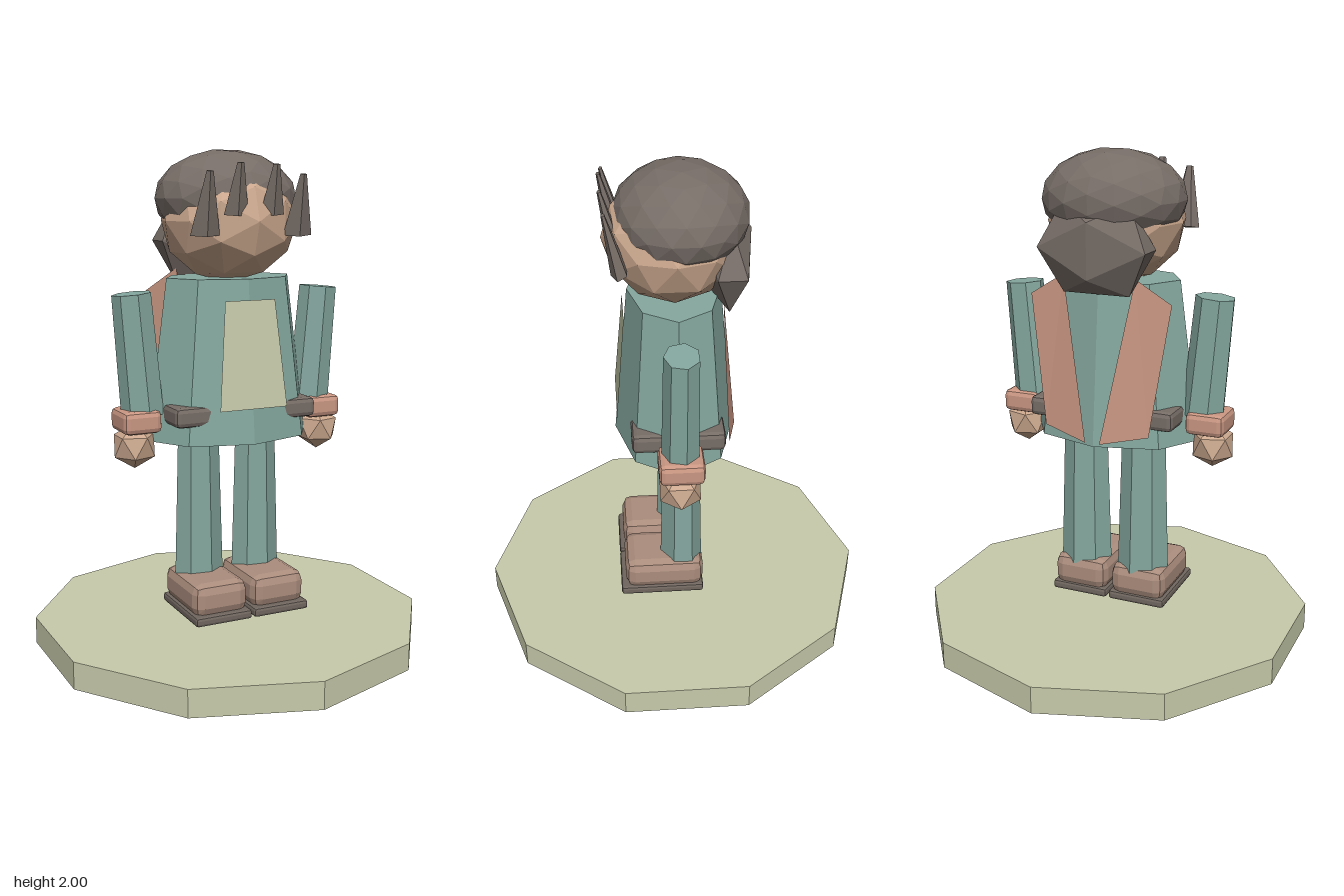
import * as THREE from 'three';
import { RoundedBoxGeometry } from 'three/addons/geometries/RoundedBoxGeometry.js';

function makeMaterial(name, color, side = THREE.FrontSide) {
  const m = new THREE.MeshStandardMaterial({ color, flatShading: true, side });
  m.name = name;
  return m;
}

export function createModel() {
  const mat = {
    stone: makeMaterial('paleStone', 0xc8cbab, THREE.DoubleSide),
    coat: makeMaterial('coatGreen', 0x85a89f),
    skin: makeMaterial('skin', 0xcba88e),
    hair: makeMaterial('hairBrown', 0x776d67),
    strap: makeMaterial('strapPink', 0xca9783, THREE.DoubleSide),
    boot: makeMaterial('bootBrown', 0xab8d7d),
    sole: makeMaterial('soleDark', 0x70665f),
  };
  const model = new THREE.Group();
  model.name = 'figurine';

  function add(name, geometry, material, x, y, z) {
    const mesh = new THREE.Mesh(geometry, material);
    mesh.name = name;
    mesh.position.set(x, y, z);
    model.add(mesh);
    return mesh;
  }
  const chamferBox = (w, h, d, r) => new RoundedBoxGeometry(w, h, d, 1, r);

  // Flat four-cornered plate; corners run around the outline
  function plate(name, corners, material) {
    const g = new THREE.BufferGeometry();
    g.setAttribute('position', new THREE.Float32BufferAttribute(corners.flat(), 3));
    g.setIndex([0, 1, 2, 0, 2, 3]);
    g.computeVertexNormals();
    return add(name, g, material, 0, 0, 0);
  }

  // Ten-sided display base
  add('base', new THREE.CylinderGeometry(0.8, 0.8, 0.11, 10), mat.stone, 0, 0.055, 0);

  // Flared coat with front panel and belt corners
  add('coat', new THREE.CylinderGeometry(0.267, 0.353, 0.64, 8), mat.coat, 0, 1.185, 0).scale.z = 0.68;
  plate('frontPanel', [
    [-0.145, 1.005, 0.234], [0.145, 1.005, 0.234], [0.107, 1.425, 0.197], [-0.107, 1.425, 0.197],
  ], mat.stone);
  add('belt', chamferBox(0.61, 0.08, 0.365, 0.02), mat.hair, 0, 0.98, 0);

  // Parts in pairs
  for (const s of [-1, 1]) {
    const side = s > 0 ? 'left' : 'right';

    add(side + 'Sole', chamferBox(0.245, 0.038, 0.35, 0.012), mat.sole, s * 0.128, 0.167, 0.065);
    add(side + 'Boot', chamferBox(0.235, 0.135, 0.33, 0.04), mat.boot, s * 0.128, 0.24, 0.055);

    const leg = add(side + 'Leg', new THREE.CylinderGeometry(0.09, 0.108, 0.62, 7), mat.coat, s * 0.128, 0.59, -0.018);
    leg.scale.z = 0.82;
    leg.rotation.y = 0.25;

    const arm = add(side + 'Arm', new THREE.CylinderGeometry(0.08, 0.088, 0.48, 7), mat.coat, s * 0.391, 1.212, 0);
    arm.scale.z = 0.85;
    arm.rotation.z = -s * 0.085;

    add(side + 'Cuff', chamferBox(0.157, 0.09, 0.175, 0.022), mat.strap, s * 0.4, 0.955, 0);
    const hand = add(side + 'Hand', new THREE.IcosahedronGeometry(0.092, 0), mat.skin, s * 0.412, 0.855, 0.005);
    hand.rotation.z = s * 0.55;

    // Straps lying down the back of the coat
    plate(side + 'BackStrap', [
      [s * 0.15, 1.53, -0.175], [s * 0.295, 1.44, -0.165], [s * 0.22, 0.92, -0.205], [s * 0.03, 0.88, -0.247],
    ], mat.strap);
  }

  // Head, hair cap and bun
  add('head', new THREE.IcosahedronGeometry(1, 1), mat.skin, 0, 1.725, 0.005).scale.set(0.272, 0.245, 0.268);
  add('hairCap', new THREE.IcosahedronGeometry(1, 2), mat.hair, 0, 1.81, -0.025).scale.set(0.287, 0.19, 0.258);
  const bun = add('hairBun', new THREE.IcosahedronGeometry(1, 0), mat.hair, 0, 1.64, -0.2);
  bun.scale.set(0.26, 0.205, 0.105);

  // Spiky fringe leaning forward: x, base height, tip height, base radius, base depth
  const spikes = [
    [-0.2, 1.675, 1.915, 0.064, 0.21],
    [-0.08, 1.75, 1.945, 0.054, 0.225],
    [0.07, 1.75, 1.94, 0.054, 0.225],
    [0.19, 1.67, 1.905, 0.066, 0.21],
  ];
  spikes.forEach(([x, y0, y1, r, z], i) => {
    const spike = add('fringeSpike' + (i + 1), new THREE.CylinderGeometry(0.015, r, y1 - y0, 5), mat.hair,
      x, (y0 + y1) / 2, z + 0.025);
    spike.scale.z = 0.5;
    spike.rotation.x = 0.23;
  });

  return model;
}
